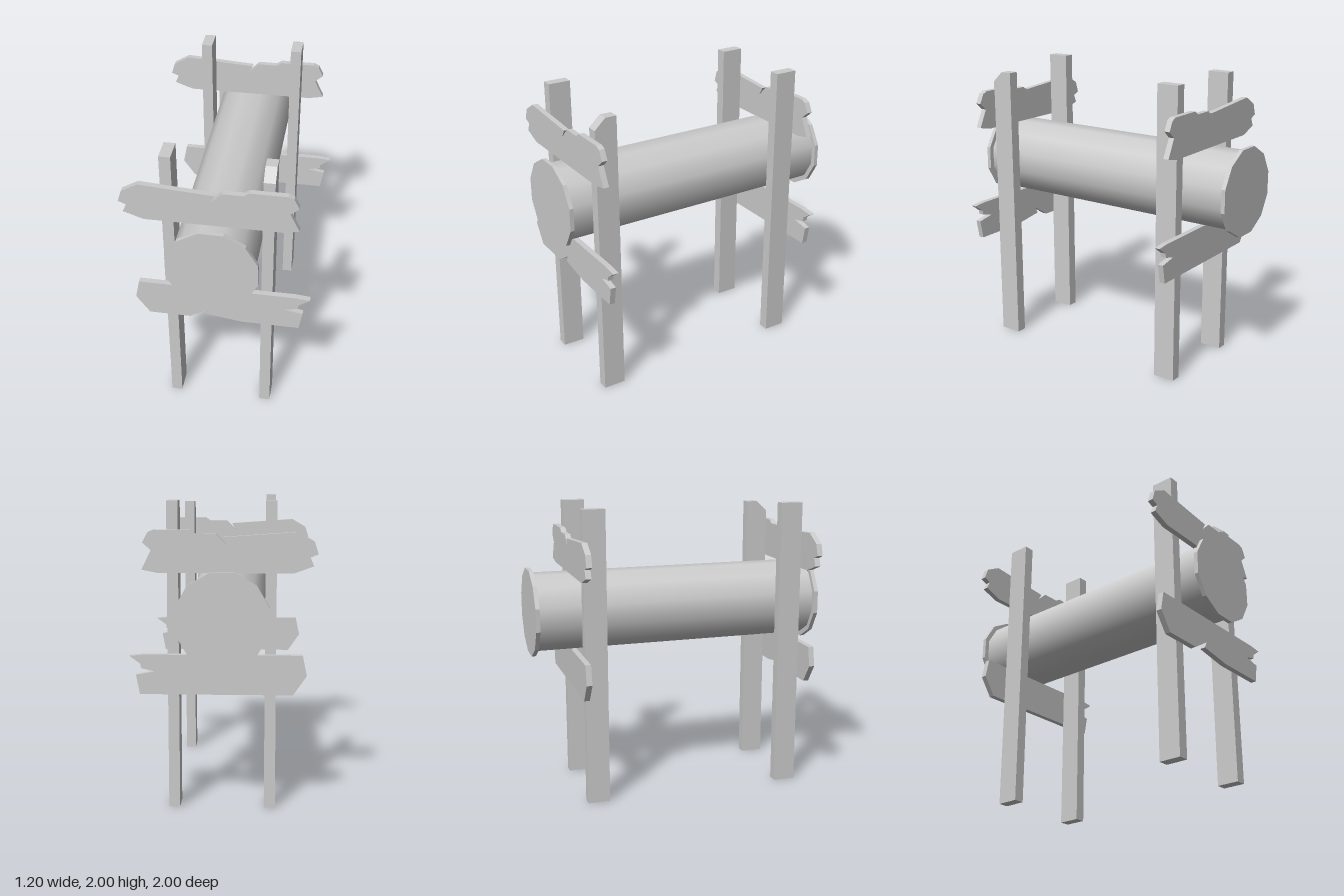
import * as THREE from 'three';

const grey = new THREE.MeshStandardMaterial({ color: 0xcccccc });
const flatGrey = new THREE.MeshStandardMaterial({ color: 0xcccccc, flatShading: true });

// Outline in (u, v), extruded along z from z0 to z1
function slab(points, z0, z1) {
  const shape = new THREE.Shape(points.map(([u, v]) => new THREE.Vector2(u, v)));
  const geometry = new THREE.ExtrudeGeometry(shape, { depth: z1 - z0, bevelEnabled: false });
  return geometry.translate(0, 0, z0);
}

export function createModel() {
  const group = new THREE.Group();
  const add = (name, geometry, material = flatGrey) => {
    const mesh = new THREE.Mesh(geometry, material);
    mesh.name = name;
    group.add(mesh);
    return mesh;
  };

  // Twelve-sided log lying along z, with a flat side on top
  const logPart = (name, radius, z0, z1, open, material) => {
    const geometry = new THREE.CylinderGeometry(radius, radius, z1 - z0, 12, 1, open);
    geometry.rotateY(Math.PI / 12).rotateX(Math.PI / 2);
    add(name, geometry, material).position.set(-0.01, 1.29, (z0 + z1) / 2);
  };
  logPart('log', 0.266, -0.98, 0.98, true, grey);
  logPart('frontLogCap', 0.3, 0.972, 1, false, flatGrey);
  logPart('backLogCap', 0.3, -1, -0.972, false, flatGrey);

  // Upright posts; the front left one is shorter with a chipped top
  const post = (name, x, z, height) =>
    add(name, new THREE.BoxGeometry(0.072, height, 0.152).translate(x, height / 2, z));
  post('frontRightPost', -0.305, 0.763, 2);
  post('backRightPost', -0.305, -0.613, 2);
  post('backLeftPost', 0.318, -0.613, 2);
  const chipped = [[-0.839, 0], [-0.687, 0], [-0.687, 1.95], [-0.765, 1.95], [-0.839, 1.88]];
  add('frontLeftPost', slab(chipped, 0.282, 0.354).rotateY(Math.PI / 2));

  // Splintered planks, the upper pair alike
  const upper = [
    [-0.6, 1.67], [-0.55, 1.65], [-0.573, 1.595], [-0.447, 1.55], [0.41, 1.55], [0.51, 1.57],
    [0.45, 1.693], [0.503, 1.74], [0.47, 1.805], [0.435, 1.82], [0.205, 1.82], [0.17, 1.796],
    [0.042, 1.796], [-0.03, 1.725], [-0.003, 1.775], [-0.472, 1.808], [-0.575, 1.748],
  ];
  // The lower front plank has a crack along its bottom edge
  const crack = [[-0.18, 0.768], [-0.053, 0.848], [-0.075, 0.803], [0.165, 0.768]];
  const lower = (gap) => [
    [-0.51, 1.027], [-0.537, 0.895], [-0.45, 0.768], ...gap, [0.532, 0.768], [0.555, 0.895],
    [0.437, 0.917], [0.522, 0.938], [0.527, 0.968], [0.597, 1.018], [0.506, 1.027],
  ];
  add('frontUpperPlank', slab(upper, 0.837, 0.875));
  add('backUpperPlank', slab(upper, -0.727, -0.689));
  add('frontLowerPlank', slab(lower(crack), 0.837, 0.875));
  add('backLowerPlank', slab(lower([]), -0.727, -0.689));

  return group;
}
